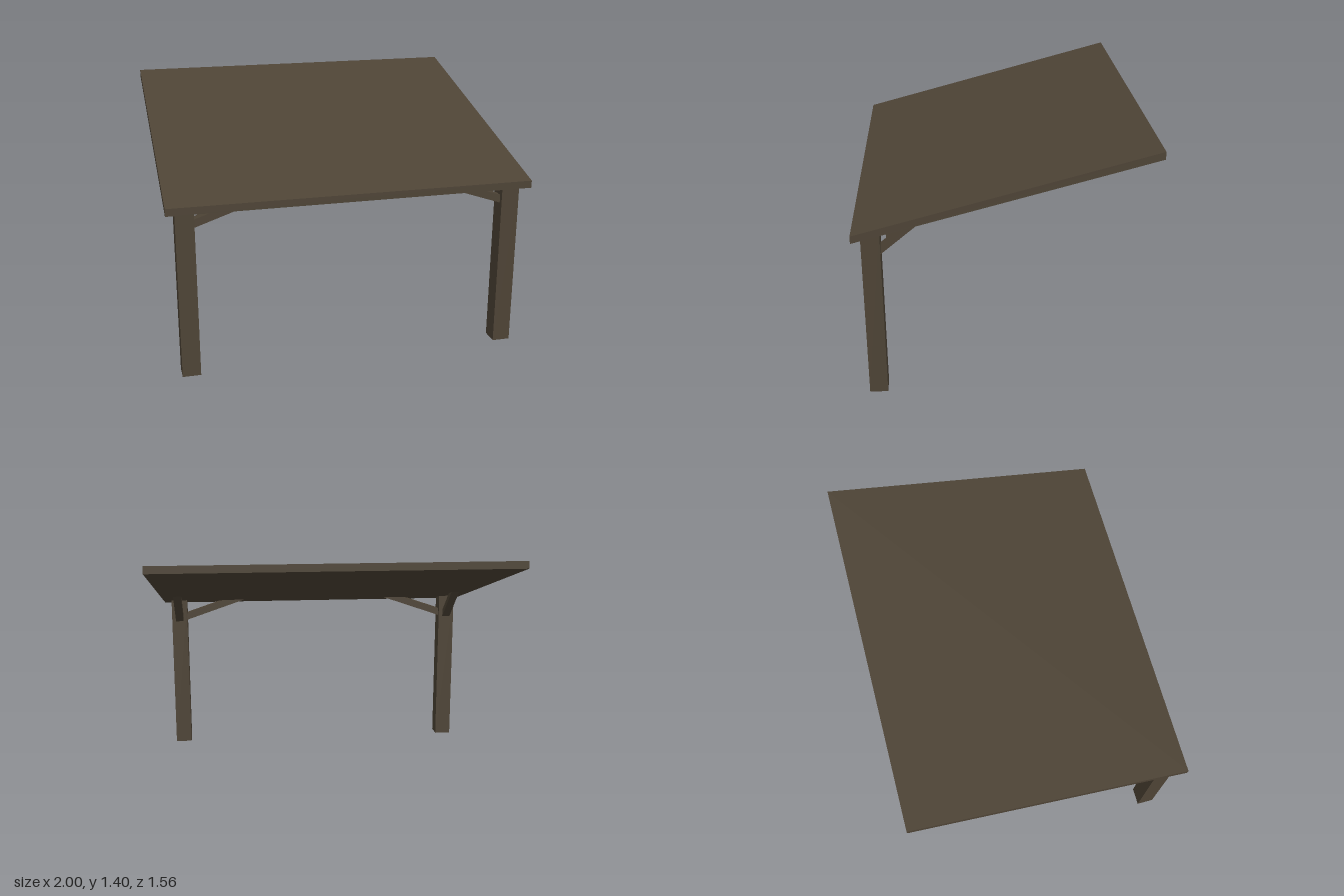
import * as THREE from 'three';

const wood = new THREE.MeshStandardMaterial({ color: 0x4d4335 });
wood.name = 'darkWood';

// Flat profile extruded to a width, centred on its own plane
function slab(name, points, width) {
  const shape = new THREE.Shape(points.map(([u, y]) => new THREE.Vector2(u, y)));
  const geometry = new THREE.ExtrudeGeometry(shape, { depth: width, bevelEnabled: false });
  geometry.translate(0, 0, -width / 2);
  const mesh = new THREE.Mesh(geometry, wood);
  mesh.name = name;
  return mesh;
}

export function createModel() {
  const model = new THREE.Group();
  model.name = 'leanToShelter';

  // Sloping roof with upright end faces, rising to the back
  const roof = slab('roof', [[-0.782, 0.937], [0.782, 1.355], [0.782, 1.396], [-0.782, 0.978]], 2);
  roof.rotation.y = Math.PI / 2;
  model.add(roof);

  const postX = 0.9, postZ = 0.687, half = 0.049;
  for (const side of [1, -1]) {
    const label = side > 0 ? 'left' : 'right';

    // Square post, its top tucked into the roof
    const post = new THREE.Mesh(new THREE.BoxGeometry(0.1, 0.976, 2 * half), wood);
    post.name = label + 'Post';
    post.position.set(side * postX, 0.488, postZ);
    model.add(post);

    // Brace running back from the post to the roof
    const back = slab(label + 'BackBrace', [[0, 0.835], [0.252, 1.046], [0.175, 1.025], [0, 0.88]], 0.05);
    back.rotation.y = Math.PI / 2;
    back.position.set(side * postX, 0, postZ - half);
    model.add(back);

    // Brace running inwards along the front edge
    const inner = slab(label + 'InnerBrace', [[0, 0.84], [0.38, 0.97], [0.25, 0.97], [0, 0.885]], 0.05);
    inner.rotation.y = side > 0 ? Math.PI : 0;
    inner.position.set(side * (postX - 0.05), 0, postZ);
    model.add(inner);
  }
  return model;
}
